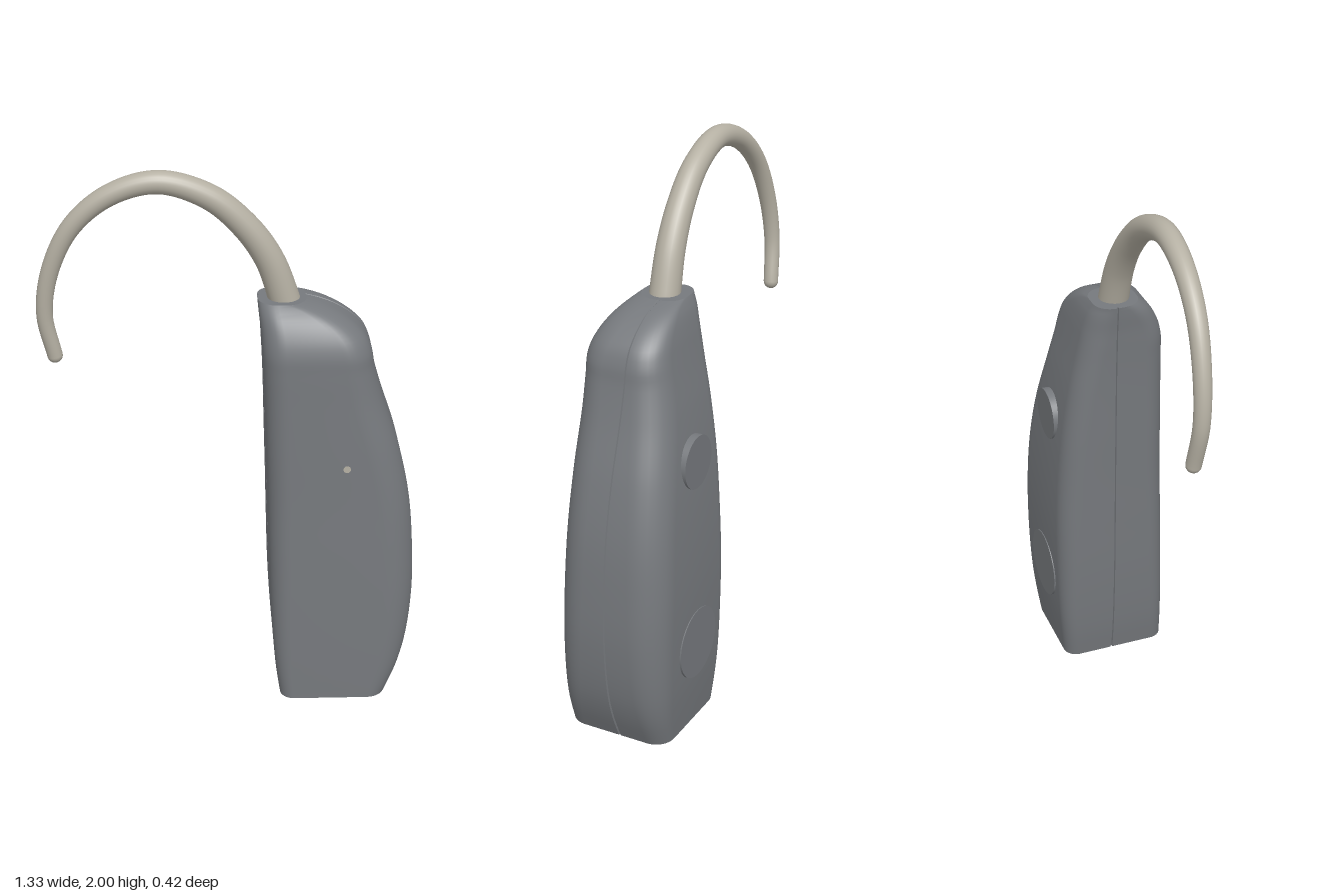
import * as THREE from 'three';
import { toCreasedNormals } from 'three/addons/utils/BufferGeometryUtils.js';

const TOP = 1.54;
const shellMat = new THREE.MeshStandardMaterial({ color: 0x76797d });
const hookMat = new THREE.MeshStandardMaterial({ color: 0xb5b0a3 });
const contactMat = new THREE.MeshStandardMaterial({ color: 0xcdd2da });

// Case profile: height, left x, right x, front z, back z, left radius, right radius
const profile = [
  [0.00, 0.180, 0.570, 0.215, -0.180, 0.050, 0.070],
  [0.10, 0.165, 0.612, 0.214, -0.190, 0.055, 0.085],
  [0.20, 0.155, 0.640, 0.213, -0.198, 0.060, 0.100],
  [0.40, 0.142, 0.661, 0.210, -0.205, 0.070, 0.115],
  [0.60, 0.135, 0.656, 0.206, -0.206, 0.075, 0.120],
  [0.80, 0.129, 0.635, 0.201, -0.198, 0.080, 0.120],
  [1.00, 0.122, 0.590, 0.198, -0.181, 0.080, 0.120],
  [1.20, 0.115, 0.525, 0.195, -0.152, 0.080, 0.115],
  [1.32, 0.109, 0.492, 0.193, -0.128, 0.080, 0.105],
  [1.38, 0.105, 0.480, 0.190, -0.116, 0.080, 0.100],
  [1.44, 0.101, 0.448, 0.173, -0.104, 0.080, 0.095],
  [1.50, 0.094, 0.370, 0.138, -0.088, 0.075, 0.085],
  [1.53, 0.091, 0.300, 0.108, -0.075, 0.070, 0.078],
  [TOP, 0.090, 0.260, 0.096, -0.070, 0.070, 0.075],
];
const spline = new THREE.CubicInterpolant(
  profile.map((r) => r[0]), profile.flatMap((r) => r.slice(1)), 6, new Float32Array(6));

// Rounded cross-section (x, z) at one height, with a fine groove at z = 0 on both sides
function section(y) {
  const [xl, xr, zf, zb, rl, rr] = spline.evaluate(y);
  const pts = [];
  const corner = (cx, cz, r, start) => {
    for (let i = 0; i <= 8; i++) {
      const a = start + (i / 8) * Math.PI / 2;
      pts.push(new THREE.Vector2(cx + r * Math.cos(a), cz + r * Math.sin(a)));
    }
  };
  const groove = (x, dir) => {
    for (const [dx, dz] of [[0, -0.004], [-0.007, -0.002], [-0.007, 0.002], [0, 0.004]])
      pts.push(new THREE.Vector2(x + dx * dir, dz * dir));
  };
  const q = Math.PI / 2;
  const rbr = Math.min(rr, -zb - 0.006), rbl = Math.min(rl, -zb - 0.006);
  groove(xr, 1);
  corner(xr - rr, zf - rr, rr, 0);
  corner(xl + rl, zf - rl, rl, q);
  groove(xl, -1);
  corner(xl + rbl, zb + rbl, rbl, 2 * q);
  corner(xr - rbr, zb + rbr, rbr, 3 * q);
  return pts;
}

// Side wall lofted through the cross-sections
function loftGeometry(rows) {
  const pos = [], index = [];
  let n = 0;
  for (let j = 0; j <= rows; j++) {
    const y = TOP * (1 - Math.pow(1 - j / rows, 1.5));
    const ring = section(y);
    n = ring.length;
    for (const p of ring) pos.push(p.x, y, p.y);
  }
  for (let j = 0; j < rows; j++) {
    for (let i = 0; i < n; i++) {
      const a = j * n + i, b = j * n + (i + 1) % n;
      index.push(a, a + n, b, b, a + n, b + n);
    }
  }
  const g = new THREE.BufferGeometry();
  g.setAttribute('position', new THREE.Float32BufferAttribute(pos, 3));
  g.setIndex(index);
  return toCreasedNormals(g, 0.6);
}

// Slot outline with round ends, for the socket in the base
function slot(length, width, Type = THREE.Shape) {
  const s = new Type(), r = width / 2, h = length / 2 - r, cx = 0.38, cz = 0.105;
  s.absarc(cx + h, cz, r, -Math.PI / 2, Math.PI / 2, false);
  s.absarc(cx - h, cz, r, Math.PI / 2, Math.PI * 1.5, false);
  s.closePath();
  return s;
}

// Tube narrowing from r0 to r1, with a round tip
function taperedTube(curve, r0, r1, segs, sides) {
  const g = new THREE.TubeGeometry(curve, segs, 1, sides);
  const p = g.attributes.position, c = new THREE.Vector3(), v = new THREE.Vector3();
  for (let i = 0; i <= segs; i++) {
    const t = i / segs;
    const r = r1 + (r0 - r1) * Math.pow(1 - t, 1.3);
    curve.getPointAt(t, c);
    for (let k = 0; k <= sides; k++) {
      const id = i * (sides + 1) + k;
      v.fromBufferAttribute(p, id).sub(c).multiplyScalar(r).add(c);
      p.setXYZ(id, v.x, v.y, v.z);
    }
  }
  return g;
}

export function createModel() {
  const model = new THREE.Group();
  const add = (name, geo, mat, parent = model) => {
    const m = new THREE.Mesh(geo, mat);
    m.name = name;
    parent.add(m);
    return m;
  };

  // Case
  const body = new THREE.Group();
  body.name = 'case';
  model.add(body);
  add('caseShell', loftGeometry(70), shellMat, body);

  const topShape = new THREE.Shape(section(TOP).map((p) => new THREE.Vector2(p.x, -p.y)));
  add('caseTop', new THREE.ShapeGeometry(topShape).rotateX(-Math.PI / 2).translate(0, TOP, 0), shellMat, body);

  const baseShape = new THREE.Shape(section(0));
  baseShape.holes.push(slot(0.32, 0.12, THREE.Path));
  add('caseBase', new THREE.ShapeGeometry(baseShape, 16).rotateX(Math.PI / 2), shellMat, body);

  // Socket in the base: rim and recessed floor
  const depth = 0.05;
  const rim = slot(0.32, 0.12);
  rim.holes.push(slot(0.27, 0.085, THREE.Path));
  add('socketRim', new THREE.ExtrudeGeometry(rim, { depth, bevelEnabled: false, curveSegments: 16 })
    .rotateX(Math.PI / 2).translate(0, depth, 0), shellMat, body);
  add('socketFloor', new THREE.ShapeGeometry(slot(0.29, 0.1), 16)
    .rotateX(Math.PI / 2).translate(0, depth - 0.002, 0), contactMat, body);

  // Round parts lying in the flat faces: x, y, back z, front z, radius
  const disc = (name, x, y, z0, z1, r, mat) => add(name,
    new THREE.CylinderGeometry(r, r, z1 - z0, 48).rotateX(Math.PI / 2).translate(x, y, (z0 + z1) / 2), mat);
  disc('button', 0.34, 1.02, -0.193, -0.12, 0.095, shellMat);
  disc('lowerDisc', 0.37, 0.335, -0.209, -0.15, 0.13, shellMat);
  disc('indicator', 0.40, 0.96, 0.17, 0.2, 0.013, hookMat);

  // Ear hook
  const path = [
    [0.20, 1.46, 0.015], [0.18, 1.54, 0.017], [0.13, 1.68, 0.022], [0.05, 1.80, 0.028],
    [-0.07, 1.907, 0.034], [-0.24, 1.963, 0.038], [-0.40, 1.92, 0.035], [-0.53, 1.81, 0.028],
    [-0.61, 1.65, 0.018], [-0.638, 1.48, 0.008], [-0.61, 1.32, -0.004],
  ];
  const curve = new THREE.CatmullRomCurve3(path.map((p) => new THREE.Vector3(...p)));
  add('earHook', taperedTube(curve, 0.056, 0.027, 90, 24), hookMat);
  add('earHookTip', new THREE.SphereGeometry(0.027, 24, 16).translate(...path[path.length - 1]), hookMat);

  return model;
}
